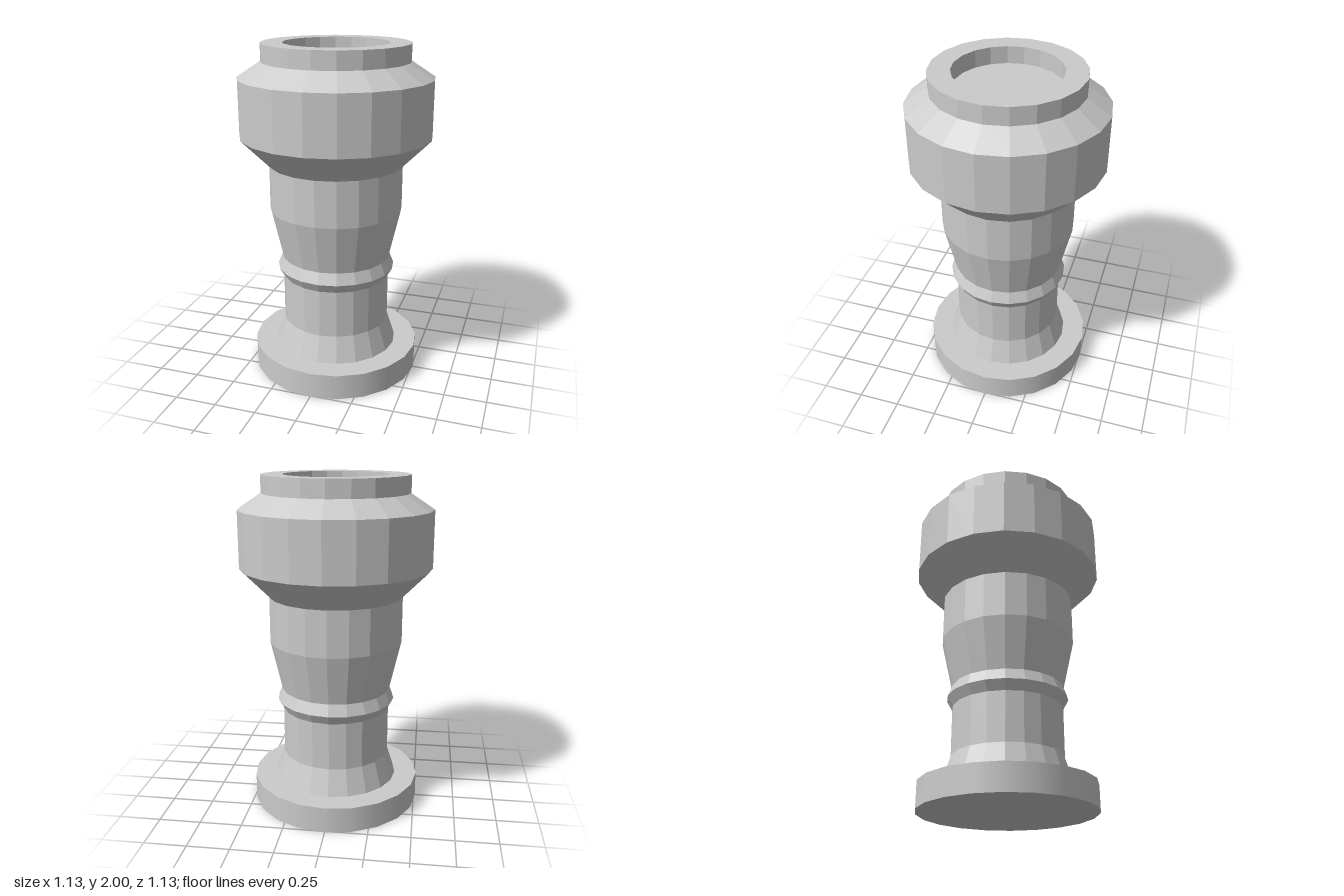
import * as THREE from 'three';

const SIDES = 20;
const faceted = new THREE.MeshStandardMaterial({ color: 0xcccccc, flatShading: true });
const smooth = new THREE.MeshStandardMaterial({ color: 0xcccccc });

// Turns a [radius, height] outline, listed from bottom to top, around the y axis
function turned(name, outline) {
  const points = outline.map(([r, y]) => new THREE.Vector2(r, y));
  const mesh = new THREE.Mesh(new THREE.LatheGeometry(points, SIDES), faceted);
  mesh.name = name;
  return mesh;
}

export function createModel() {
  const group = new THREE.Group();
  group.name = 'turnedPost';

  // Round foot plate
  const base = new THREE.Mesh(new THREE.CylinderGeometry(0.51, 0.51, 0.155, SIDES), smooth);
  base.position.y = 0.0775;
  base.name = 'base';
  group.add(base);

  // Flared lower stem
  group.add(turned('lowerStem', [[0.375, 0.155], [0.325, 0.31], [0.325, 0.6]]));

  // Pointed ring around the waist
  group.add(turned('collarRing', [[0.325, 0.6], [0.357, 0.657], [0.33, 0.725]]));

  // Widening upper stem
  group.add(turned('upperStem', [[0.33, 0.725], [0.398, 1.025], [0.398, 1.3]]));

  // Wide head with sloped shoulders
  group.add(turned('head', [[0.398, 1.3], [0.567, 1.47], [0.567, 1.807], [0.43, 1.897]]));

  // Top rim with a shallow round recess
  group.add(turned('rim', [[0.43, 1.897], [0.43, 2], [0.305, 2], [0.305, 1.9], [0, 1.9]]));

  return group;
}
